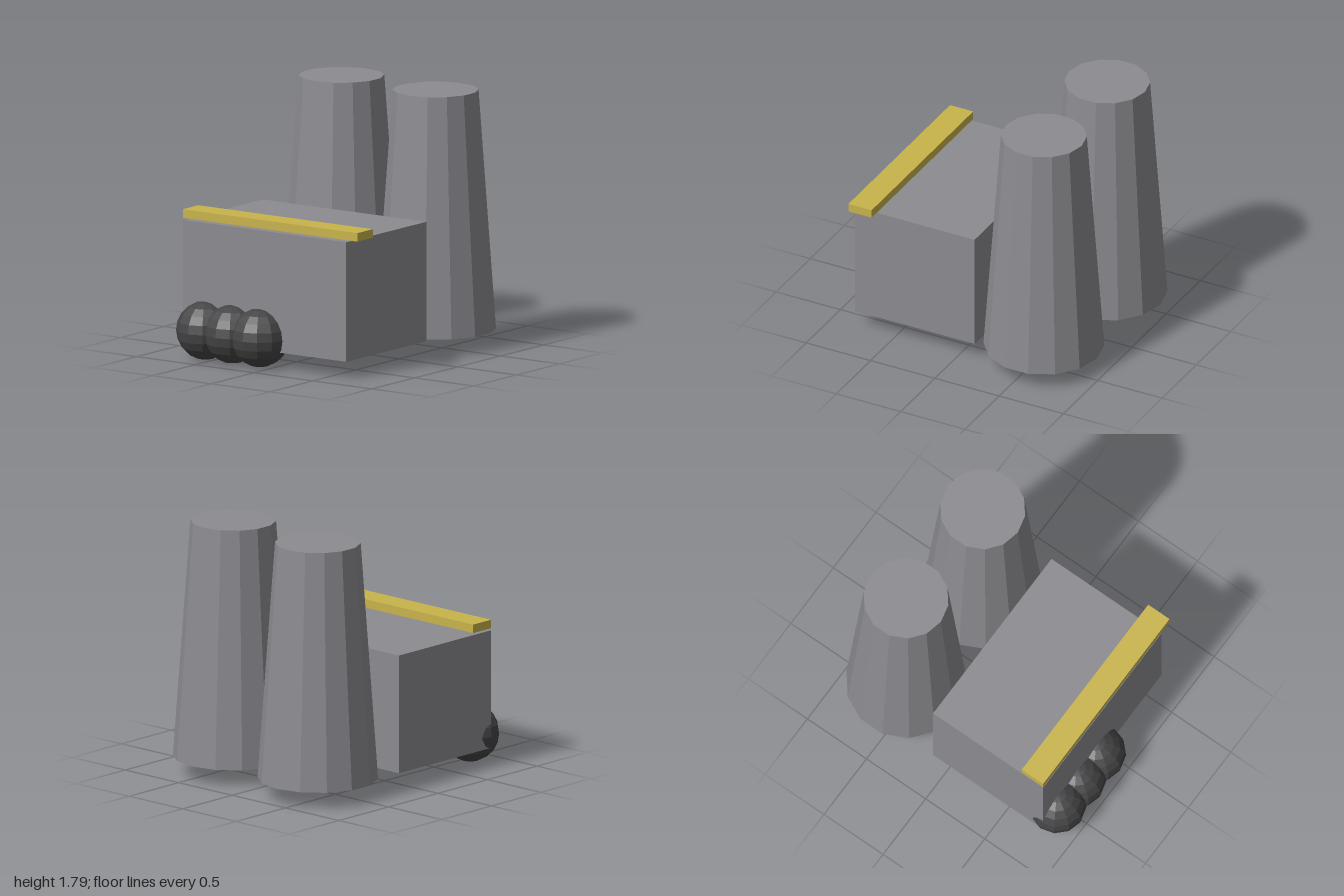
import * as THREE from 'three';

export function createModel() {
  const group = new THREE.Group();
  const material = (name, color) => {
    const m = new THREE.MeshStandardMaterial({ color, flatShading: true });
    m.name = name;
    return m;
  };
  const concrete = material('concrete grey', 0x8c8b90);
  const charcoal = material('charcoal', 0x454547);
  const yellow = material('warning yellow', 0xc8b44c);

  const add = (name, geometry, mat, x, y, z) => {
    const mesh = new THREE.Mesh(geometry, mat);
    mesh.name = name;
    mesh.position.set(x, y, z);
    group.add(mesh);
  };

  // Main block with a yellow strip hovering just above its front edge
  add('mainBuilding', new THREE.BoxGeometry(1.39, 0.835, 0.93), concrete, -0.05, 0.5375, 0.345);
  add('roofStrip', new THREE.BoxGeometry(1.485, 0.06, 0.18), yellow, -0.0025, 1.0, 0.72);

  // Two tapered fourteen-sided cooling towers, slightly staggered
  const tower = new THREE.CylinderGeometry(0.295, 0.415, 1.67, 14);
  add('rightTower', tower, concrete, -0.418, 0.955, -0.585);
  add('leftTower', tower, concrete, 0.418, 0.955, -0.538);

  // Row of overlapping round tanks, half sunk into the front wall
  const tank = new THREE.SphereGeometry(0.204, 12, 10);
  for (let i = 0; i < 3; i++) {
    add(`frontTank${i + 1}`, tank, charcoal, -0.562 + i * 0.232, 0.204, 0.796);
  }
  return group;
}
